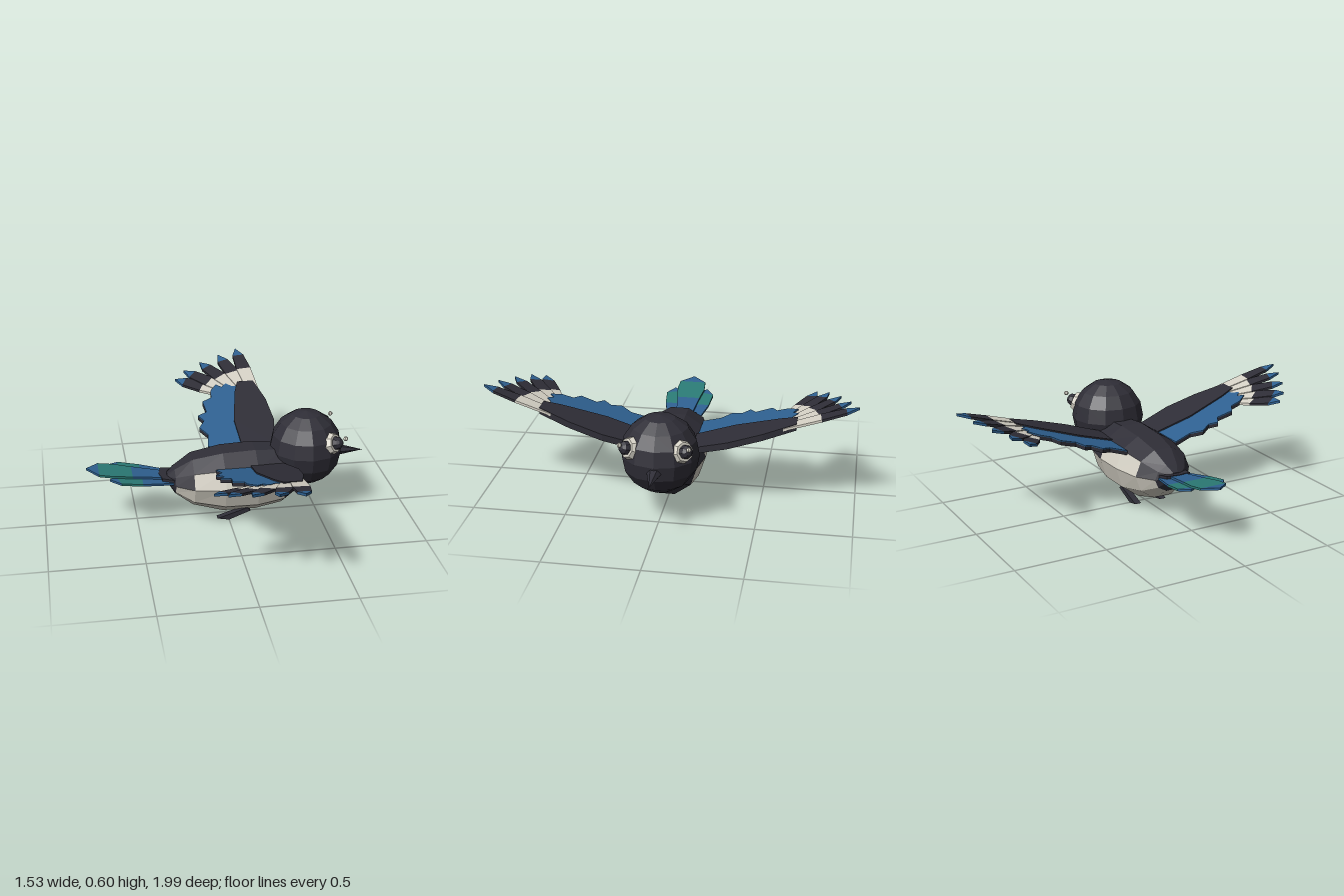
import * as THREE from 'three';

const mat = (name, color) => Object.assign(new THREE.MeshStandardMaterial({ color }), { name });

export function createModel() {
  const black = mat('charcoal plumage', 0x2f2e37);
  const white = mat('cream plumage', 0xd6d2c6);
  const blue = mat('blue feather', 0x2f6191);
  const teal = mat('teal feather', 0x2b7b76);
  const bird = new THREE.Group();
  bird.name = 'bird';

  // Adds a faceted mesh
  const add = (parent, name, geometry, material) => {
    const g = geometry.index ? geometry.toNonIndexed() : geometry;
    g.computeVertexNormals();
    const mesh = new THREE.Mesh(g, material);
    mesh.name = name;
    parent.add(mesh);
    return mesh;
  };

  // Plate outlined in [x, z], lifted to the surface y = height(x, |z|)
  const plate = (points, side, thick, height) => {
    const shape = new THREE.Shape(points.map(([x, z]) => new THREE.Vector2(x, -side * z)));
    const g = new THREE.ExtrudeGeometry(shape, { depth: thick, bevelEnabled: false });
    g.rotateX(-Math.PI / 2);
    const p = g.attributes.position;
    for (let i = 0; i < p.count; i++) {
      p.setY(i, p.getY(i) - thick / 2 + height(p.getX(i), p.getZ(i) * side));
    }
    return g;
  };

  // Body rings: x, half width, height above and below the seam, seam y
  const rings = [
    [-0.33, 0.04, 0.025, 0.025, 0.245], [-0.29, 0.1, 0.075, 0.075, 0.23],
    [-0.195, 0.165, 0.138, 0.145, 0.23], [-0.03, 0.195, 0.17, 0.193, 0.23],
    [0.15, 0.197, 0.178, 0.195, 0.23], [0.3, 0.17, 0.165, 0.168, 0.23],
    [0.42, 0.11, 0.1, 0.06, 0.23],
  ];
  const sides = 10;
  const ringPoint = (i, k) => {
    const [x, w, up, down, y] = rings[i];
    const a = (k / sides) * Math.PI * 2, s = Math.sin(a);
    return [x, y + s * (s > 0 ? up : down), w * Math.cos(a)];
  };
  const dark = [], pale = [];
  for (let i = 0; i < rings.length - 1; i++) {
    for (let k = 0; k < sides; k++) {
      const belly = k >= 5 && i >= 1 && i <= 4;
      const flank = (k === 0 || k === 4) && (i === 2 || i === 3);
      const a = ringPoint(i, k), b = ringPoint(i + 1, k);
      const c = ringPoint(i + 1, k + 1), d = ringPoint(i, k + 1);
      (belly || flank ? pale : dark).push(...a, ...b, ...c, ...a, ...c, ...d);
    }
  }
  for (let k = 0; k < sides; k++) {
    dark.push(-0.335, 0.245, 0, ...ringPoint(0, k), ...ringPoint(0, k + 1));
    dark.push(0.43, 0.23, 0, ...ringPoint(6, k + 1), ...ringPoint(6, k));
  }
  for (const [name, list, m] of [['bodyBack', dark, black], ['bodyBelly', pale, white]]) {
    const g = new THREE.BufferGeometry();
    g.setAttribute('position', new THREE.Float32BufferAttribute(list, 3));
    add(bird, name, g, m);
  }

  // Head and beak
  const head = add(bird, 'head', new THREE.SphereGeometry(1, 12, 8), black);
  head.scale.set(0.2, 0.21, 0.205);
  head.position.set(0.44, 0.375, 0);
  const beak = add(bird, 'beak', new THREE.ConeGeometry(0.042, 0.16, 6).rotateZ(-Math.PI / 2), black);
  beak.scale.y = 0.8;
  beak.position.set(0.685, 0.336, 0);
  beak.rotation.z = -0.08;

  // Tail: short coverts and three banded feathers
  const tailY = (x) => 0.245 - (x + 0.3) * 0.16;
  add(bird, 'tailCoverts', plate([[-0.27, 0.085], [-0.36, 0.07], [-0.375, 0], [-0.36, -0.07], [-0.27, -0.085]],
    1, 0.03, tailY), black);
  const midTail = [
    ['Base', blue, [[-0.3, 0.04], [-0.52, 0.065], [-0.52, -0.065], [-0.3, -0.04]]],
    ['Band', teal, [[-0.52, 0.065], [-0.62, 0.08], [-0.7, 0.075], [-0.7, -0.075], [-0.62, -0.08], [-0.52, -0.065]]],
    ['Tip', blue, [[-0.7, 0.075], [-0.765, 0], [-0.7, -0.075]]],
  ];
  for (const [part, m, pts] of midTail) {
    add(bird, 'middleTail' + part, plate(pts, 1, 0.012, (x) => tailY(x) + 0.006), m);
  }
  const outerTail = [
    ['Base', blue, [[-0.3, 0.085], [-0.47, 0.127], [-0.47, 0.03], [-0.3, 0]]],
    ['Band', teal, [[-0.47, 0.127], [-0.585, 0.138], [-0.61, 0.05], [-0.47, 0.03]]],
    ['Tip', blue, [[-0.585, 0.138], [-0.645, 0.095], [-0.61, 0.05]]],
  ];

  for (const side of [1, -1]) {
    const prefix = side > 0 ? 'left' : 'right';
    for (const [part, m, pts] of outerTail) {
      add(bird, prefix + 'Tail' + part, plate(pts, side, 0.012, (x) => tailY(x) - 0.006), m);
    }

    // Eye: pale ring, dark pupil and small highlight
    const normal = new THREE.Vector3(0.67, 0.33, side * 0.68).normalize();
    const eye = new THREE.Group();
    eye.name = prefix + 'Eye';
    eye.position.set(0.56, 0.442, side * 0.135);
    eye.quaternion.setFromUnitVectors(new THREE.Vector3(0, 1, 0), normal);
    bird.add(eye);
    add(eye, 'eyeRing', new THREE.CylinderGeometry(0.05, 0.067, 0.04, 8), white);
    const pupil = add(eye, 'pupil', new THREE.SphereGeometry(0.037, 8, 6), black);
    pupil.position.y = 0.025;
    const glint = add(bird, prefix + 'EyeHighlight', new THREE.SphereGeometry(0.013, 6, 5), white);
    glint.position.set(0.62, 0.483, side * 0.175);

    // Swept-back foot
    const foot = new THREE.Shape([[-0.065, 0.015], [0, 0.003], [0.12, 0.05], [0.1, 0.068]]
      .map(([x, y]) => new THREE.Vector2(x, y)));
    const footMesh = add(bird, prefix + 'Foot',
      new THREE.ExtrudeGeometry(foot, { depth: 0.036, bevelEnabled: false }), black);
    footMesh.position.z = side * 0.078 - 0.018;

    // Wing
    const wing = new THREE.Group();
    wing.name = prefix + 'Wing';
    bird.add(wing);
    const wingY = (dy) => (x, z) => 0.345 + 0.3 * (z - 0.2) + dy;
    add(wing, 'wingArm', plate([[0.11, 0.13], [0.1, 0.35], [0.145, 0.59], [0.175, 0.68], [0.27, 0.68],
      [0.315, 0.51], [0.33, 0.33], [0.295, 0.13]], side, 0.036, wingY(0)), black);
    const scallops = [[0.2, 0.15], [-0.08, 0.15], [-0.065, 0.25], [-0.105, 0.31], [-0.07, 0.365],
      [-0.098, 0.41], [-0.045, 0.44], [-0.055, 0.53], [0, 0.56], [0.005, 0.62], [0.045, 0.675],
      [0.075, 0.65], [0.105, 0.68], [0.14, 0.65], [0.2, 0.66]];
    add(wing, 'wingUnderside', plate(scallops, side, 0.02, wingY(-0.006)), black);
    add(wing, 'wingCoverts', plate(scallops, side, 0.006, wingY(0.007)), blue);

    // Five flight feathers, each pale, dark, then blue at the tip
    const tips = [[0.215, 0.995], [0.1, 0.95], [-0.02, 0.895], [-0.125, 0.83], [-0.185, 0.762]];
    tips.forEach(([tx, tz], i) => {
      const bx = 0.255 - 0.035 * i, bz = 0.61;
      const dx = tx - bx, dz = tz - bz, len = Math.hypot(dx, dz);
      const at = (t, w) => [bx + dx * t - (dz / len) * w, bz + dz * t + (dx / len) * w];
      const band = (t0, w0, t1, w1) => [at(t0, w0), at(t1, w1), at(t1, -w1), at(t0, -w0)];
      const y = wingY(-0.004 * (i - 2));
      add(wing, 'featherBase', plate(band(0, 0.036, 0.5, 0.043), side, 0.014, y), white);
      add(wing, 'featherShaft', plate(band(0.5, 0.043, 0.83, 0.034), side, 0.014, y), black);
      add(wing, 'featherTip', plate([at(0.83, 0.034), at(1, 0), at(0.83, -0.034)], side, 0.014, y), blue);
    });
  }
  return bird;
}
